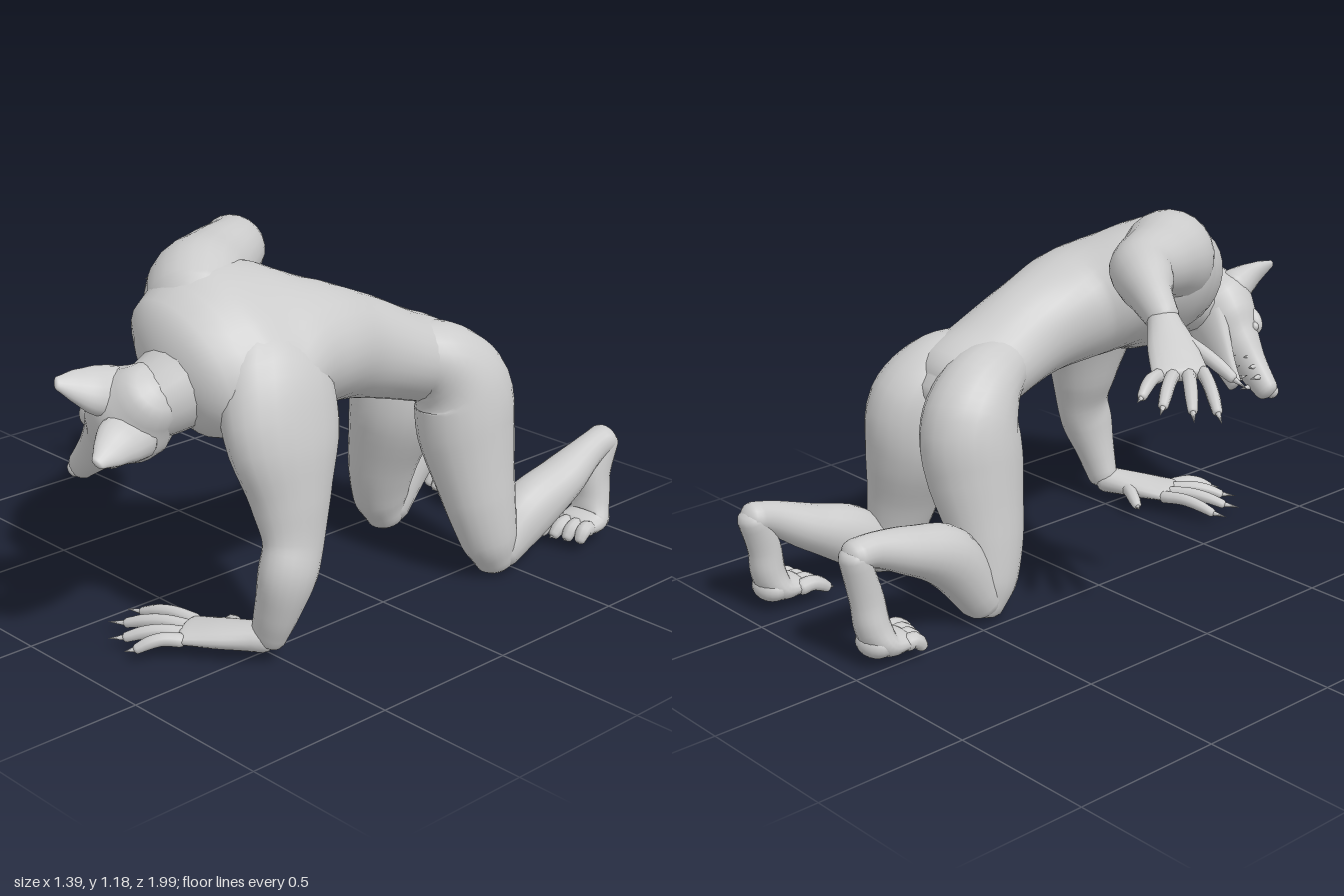
import * as THREE from 'three';

const material = new THREE.MeshStandardMaterial({ color: 0xcccccc });
const V = (a) => new THREE.Vector3(a[0], a[1], a[2]);

// Smooth closed limb through stations [x, y, z, halfWidth, halfDepth, roll].
// ref is the direction of the width; both ends are rounded.
function loft(name, stations, ref = [1, 0, 0], sides = 18, per = 5) {
  const centres = new THREE.CatmullRomCurve3(stations.map(V), false, 'centripetal');
  const sizes = new THREE.CatmullRomCurve3(
    stations.map((s) => new THREE.Vector3(s[3], s[4], s[5] || 0)), false, 'catmullrom', 0.4);
  const n = (stations.length - 1) * per, rings = [];
  const dome = [0, 0.35, 0.65, 0.88];
  const ring = (t, scale, push) => rings.push({ t, scale, push });
  dome.forEach((k) => ring(0, k, -Math.sqrt(1 - k * k)));
  for (let i = 0; i <= n; i++) ring(i / n, 1, 0);
  dome.reverse().forEach((k) => ring(1, k, Math.sqrt(1 - k * k)));

  const pos = [], index = [];
  rings.forEach(({ t, scale, push }, i) => {
    const c = centres.getPoint(t), tan = centres.getTangent(t), s = sizes.getPoint(t);
    const side = V(ref).addScaledVector(tan, -V(ref).dot(tan)).normalize().applyAxisAngle(tan, s.z);
    const other = tan.clone().cross(side);
    c.addScaledVector(tan, push * 0.7 * Math.min(s.x, s.y));
    for (let j = 0; j < sides; j++) {
      const a = (j / sides) * Math.PI * 2;
      const p = c.clone().addScaledVector(side, s.x * scale * Math.cos(a))
        .addScaledVector(other, s.y * scale * Math.sin(a));
      pos.push(p.x, p.y, p.z);
      if (i < rings.length - 1) {
        const k = (j + 1) % sides, r = i * sides, q = r + sides;
        index.push(r + j, r + k, q + k, r + j, q + k, q + j);
      }
    }
  });
  const g = new THREE.BufferGeometry();
  g.setAttribute('position', new THREE.Float32BufferAttribute(pos, 3));
  g.setIndex(index);
  g.computeVertexNormals();
  const mesh = new THREE.Mesh(g, material);
  mesh.name = name;
  return mesh;
}

function ellipsoid(name, at, radii) {
  const mesh = new THREE.Mesh(new THREE.SphereGeometry(1, 20, 14), material);
  mesh.name = name;
  mesh.position.set(...at);
  mesh.scale.set(...radii);
  return mesh;
}

// Thin cone from base to tip, for claws and teeth
function spike(name, base, tip, radius) {
  const dir = tip.clone().sub(base), len = dir.length();
  const mesh = new THREE.Mesh(new THREE.ConeGeometry(radius, len, 7), material);
  mesh.name = name;
  mesh.position.copy(base).addScaledVector(dir, 0.5);
  mesh.quaternion.setFromUnitVectors(new THREE.Vector3(0, 1, 0), dir.normalize());
  return mesh;
}

// Arched digit with a claw at its end
function digit(name, base, tip, r, arch) {
  const g = new THREE.Group();
  g.name = name;
  const at = (t, up) => base.clone().lerp(tip, t).add(new THREE.Vector3(0, up, 0));
  const st = (p, k) => [p.x, p.y, p.z, r * k, r * k];
  g.add(loft(name + 'Flesh', [st(at(0, 0), 1.05), st(at(0.3, arch), 1), st(at(0.55, arch * 0.8), 0.95),
    st(at(0.76, 0), 0.75)], [0.3, 1, 0.2], 9, 3));
  g.add(spike(name + 'Claw', at(0.74, 0), tip, r * 0.55));
  return g;
}

// Palm from wrist to knuckles, four fingers and a thumb
function hand(name, wrist, knuckles, across, tips, thumb) {
  const g = new THREE.Group();
  g.name = name;
  const w = V(wrist), k = V(knuckles), side = V(across).normalize();
  const m = w.clone().lerp(k, 0.55);
  g.add(loft(name + 'Palm', [[...wrist, 0.052, 0.046], [m.x, m.y, m.z, 0.078, 0.037],
    [...knuckles, 0.088, 0.026]], across));
  tips.forEach((tip, i) => {
    const base = k.clone().addScaledVector(side, (1.5 - i) * 0.046);
    g.add(digit(name + 'Finger', base, V(tip), 0.021, 0.014));
  });
  g.add(digit(name + 'Thumb', w.clone().lerp(k, 0.4).addScaledVector(side, 0.045), V(thumb), 0.023, 0.006));
  return g;
}

// Buttock, thigh, calf and foot; s = 1 left, -1 right; lift raises the calf
function leg(name, s, lift) {
  const g = new THREE.Group();
  g.name = name;
  const x = (off) => 0.325 + s * off;
  g.add(loft('thigh', [[x(0.07), 0.76, -0.19, 0.1, 0.1], [x(0.105), 0.71, -0.31, 0.135, 0.135],
    [x(0.135), 0.615, -0.38, 0.15, 0.165], [x(0.155), 0.48, -0.385, 0.15, 0.165],
    [x(0.215), 0.27, -0.39, 0.112, 0.128], [x(0.245), 0.13, -0.41, 0.09, 0.1],
    [x(0.25), 0.05, -0.435, 0.07, 0.068]], [1, 0, 0], 22));
  g.add(loft('calf', [[x(0.25), 0.075, -0.45, 0.078, 0.075], [x(0.255), 0.17 + lift, -0.58, 0.09, 0.1],
    [x(0.265), 0.245 + lift, -0.74, 0.08, 0.077], [x(0.27), 0.315 + lift * 0.7, -0.88, 0.053, 0.055],
    [x(0.27), 0.335 + lift * 0.5, -0.945, 0.054, 0.05]]));
  g.add(loft('foot', [[x(0.27), 0.33 + lift * 0.5, -0.95, 0.053, 0.046], [x(0.272), 0.22, -0.91, 0.05, 0.055],
    [x(0.277), 0.13, -0.897, 0.062, 0.055], [x(0.28), 0.075, -0.87, 0.08, 0.048],
    [x(0.28), 0.065, -0.81, 0.08, 0.034]]));
  g.add(ellipsoid('heelPad', [x(0.278), 0.075, -0.89], [0.072, 0.048, 0.055]));
  for (let i = 0; i < 4; i++) {
    const o = 0.22 + i * 0.038;
    g.add(digit('toe', new THREE.Vector3(x(o), 0.065, -0.81),
      new THREE.Vector3(x(o + (i - 1.5) * 0.008), 0.035, -0.69 - i * 0.018), 0.026, 0.014));
  }
  return g;
}

// Canine head, built facing local +z with the crown along +y
function head() {
  const g = new THREE.Group();
  g.name = 'head';
  g.add(loft('skull', [[0, -0.01, -0.08, 0.11, 0.105], [0, 0, 0, 0.145, 0.125], [0, 0, 0.08, 0.132, 0.11],
    [0, 0, 0.16, 0.095, 0.08], [0, 0.005, 0.27, 0.062, 0.05], [0, 0.01, 0.36, 0.045, 0.038]]));
  g.add(loft('lowerJaw', [[0, -0.06, 0.03, 0.11, 0.05], [0, -0.085, 0.15, 0.072, 0.032],
    [0, -0.105, 0.25, 0.046, 0.022], [0, -0.112, 0.31, 0.034, 0.016]]));
  g.add(ellipsoid('nose', [0, 0.028, 0.375], [0.026, 0.02, 0.02]));
  for (const s of [-1, 1]) {
    // Broad ear bent outward
    g.add(loft('ear', [[s * 0.068, 0.04, -0.01, 0.082, 0.07], [s * 0.085, 0.11, -0.03, 0.075, 0.05],
      [s * 0.108, 0.165, -0.04, 0.053, 0.03], [s * 0.13, 0.218, -0.045, 0.022, 0.012]], [1, 0, s * -0.1]));
    g.add(ellipsoid('brow', [s * 0.07, 0.05, 0.12], [0.04, 0.03, 0.055]));
    g.add(ellipsoid('eye', [s * 0.086, 0.03, 0.155], [0.016, 0.014, 0.016]));
    for (let i = 0; i < 4; i++) {
      const z = 0.2 + i * 0.04, x = s * (0.05 - i * 0.006), l = i === 3 ? 0.035 : 0.018;
      g.add(spike('upperTooth', new THREE.Vector3(x, -0.025, z), new THREE.Vector3(x, -0.035 - l, z), 0.01));
      g.add(spike('lowerTooth', new THREE.Vector3(x * 0.8, -0.095, z - 0.02),
        new THREE.Vector3(x * 0.8, -0.085 + l * 0.8, z - 0.02), 0.008));
    }
  }
  const face = new THREE.Vector3(-0.73, -0.68, -0.04).normalize();
  const left = new THREE.Vector3(0, 0, 1).cross(face).normalize();
  g.quaternion.setFromRotationMatrix(new THREE.Matrix4().makeBasis(left, face.clone().cross(left), face));
  g.position.set(0.23, 0.76, 0.77);
  return g;
}

export function createModel() {
  const model = new THREE.Group();
  model.name = 'crawlingBeast';

  // Twisted torso, right shoulder raised
  model.add(loft('torso', [[0.325, 0.665, -0.36, 0.16, 0.11], [0.325, 0.7, -0.31, 0.195, 0.14],
    [0.335, 0.745, -0.19, 0.185, 0.145], [0.34, 0.815, 0.0, 0.172, 0.165], [0.33, 0.865, 0.19, 0.225, 0.19, -0.2],
    [0.3, 0.89, 0.35, 0.31, 0.2, -0.5], [0.29, 0.89, 0.48, 0.32, 0.21, -0.6],
    [0.29, 0.88, 0.575, 0.27, 0.19, -0.6]], [1, 0, 0], 28, 7));

  // Neck and head
  model.add(loft('neck', [[0.29, 0.87, 0.55, 0.17, 0.16], [0.275, 0.815, 0.66, 0.135, 0.13],
    [0.25, 0.775, 0.75, 0.115, 0.11]]));
  model.add(head());

  // Left arm bearing on the ground, rooted in the chest
  model.add(loft('leftArm', [[0.38, 0.89, 0.4, 0.12, 0.18], [0.455, 0.83, 0.43, 0.14, 0.2],
    [0.525, 0.69, 0.455, 0.122, 0.2], [0.57, 0.5, 0.465, 0.097, 0.135], [0.597, 0.38, 0.48, 0.075, 0.105],
    [0.605, 0.29, 0.51, 0.08, 0.096], [0.58, 0.17, 0.53, 0.07, 0.066],
    [0.55, 0.085, 0.535, 0.06, 0.048]], [1, 0, 0], 22));
  model.add(hand('leftHand', [0.54, 0.075, 0.54], [0.33, 0.06, 0.66], [-0.5, 0, -0.87],
    [[0.05, 0.035, 0.67], [0.08, 0.035, 0.77], [0.17, 0.035, 0.84], [0.27, 0.035, 0.86]], [0.31, 0.035, 0.49]));

  // Right arm reaching out behind, rooted in the chest
  model.add(loft('rightArm', [[0.19, 0.98, 0.5, 0.17, 0.15], [0.115, 1.03, 0.42, 0.155, 0.155],
    [0.035, 1.055, 0.29, 0.125, 0.13], [-0.045, 1.07, 0.145, 0.1, 0.105], [-0.125, 1.055, 0.085, 0.095, 0.09],
    [-0.2, 1.03, 0.04, 0.075, 0.066], [-0.28, 0.99, 0.008, 0.056, 0.052]], [0, 1, 0], 22));
  model.add(hand('rightHand', [-0.285, 0.985, 0.005], [-0.475, 0.885, -0.11], [-0.52, 0, 0.85],
    [[-0.7, 0.8, -0.165], [-0.665, 0.815, -0.245], [-0.585, 0.83, -0.305], [-0.5, 0.85, -0.315]],
    [-0.6, 0.83, 0.05]));

  // Kneeling legs
  model.add(leg('leftLeg', 1, 0), leg('rightLeg', -1, 0.085));
  return model;
}
